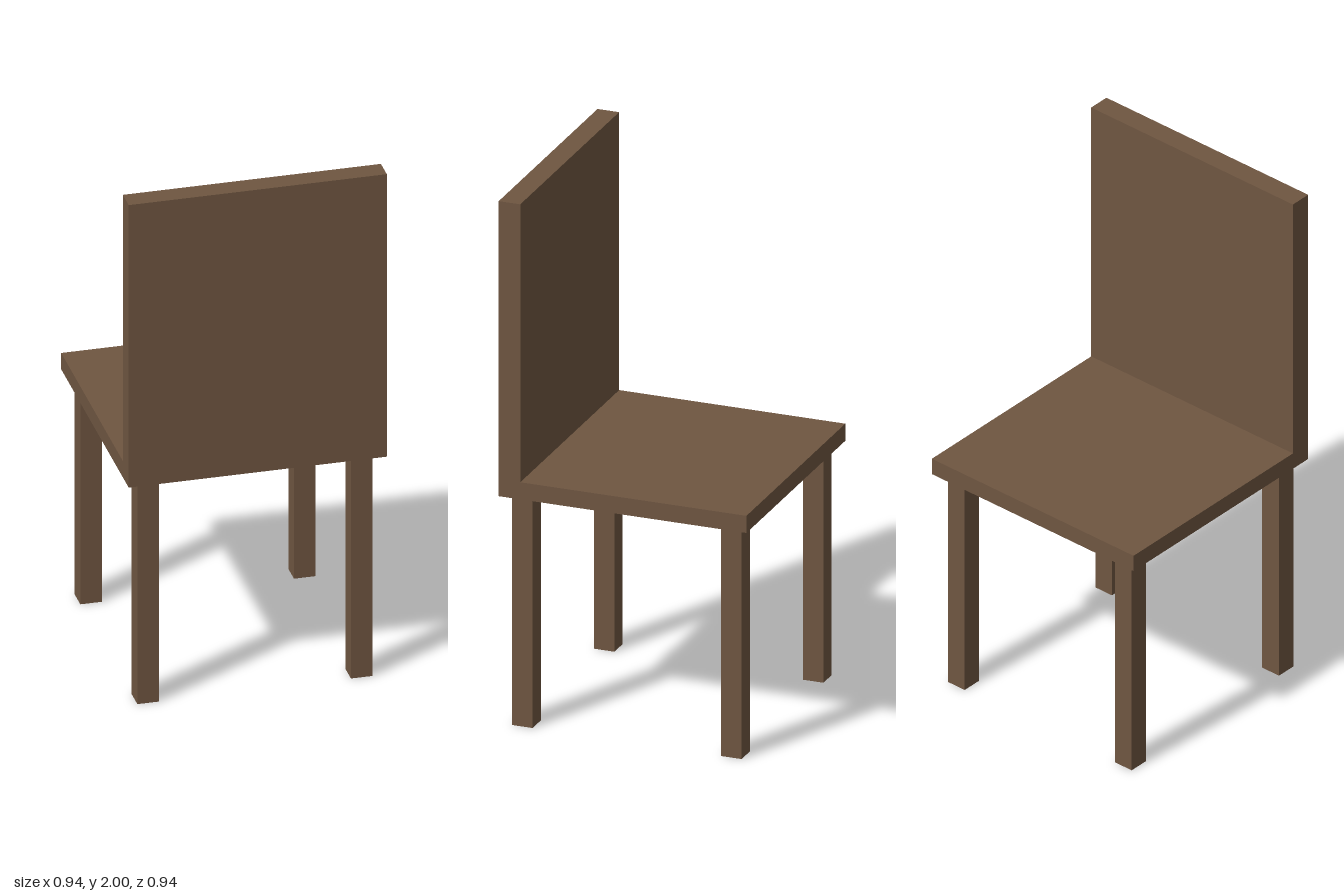
import * as THREE from 'three';

export function createModel() {
  const chair = new THREE.Group();
  chair.name = 'chair';

  const wood = new THREE.MeshStandardMaterial({ color: 0x6f5641 });
  wood.name = 'brown wood';

  // Box given by its minimum and maximum corners
  function box(name, [x0, y0, z0], [x1, y1, z1]) {
    const mesh = new THREE.Mesh(new THREE.BoxGeometry(x1 - x0, y1 - y0, z1 - z0), wood);
    mesh.position.set((x0 + x1) / 2, (y0 + y1) / 2, (z0 + z1) / 2);
    mesh.name = name;
    chair.add(mesh);
  }

  const half = 0.47, seatBottom = 0.88, seatTop = 0.945, backFace = 0.388;

  // Seat slab and upright back panel
  box('seat', [-half, seatBottom, -half], [half, seatTop, backFace]);
  box('backrest', [-half, seatBottom, backFace], [half, 2, half]);

  // Four square legs, set in slightly from the seat edges
  const r = 0.039;
  for (const [side, x] of [['left', 0.387], ['right', -0.391]]) {
    for (const [end, z] of [['backrest', 0.398], ['open', -0.395]]) {
      box(`${side} leg, ${end} end`, [x - r, 0, z - r], [x + r, seatBottom, z + r]);
    }
  }

  return chair;
}
